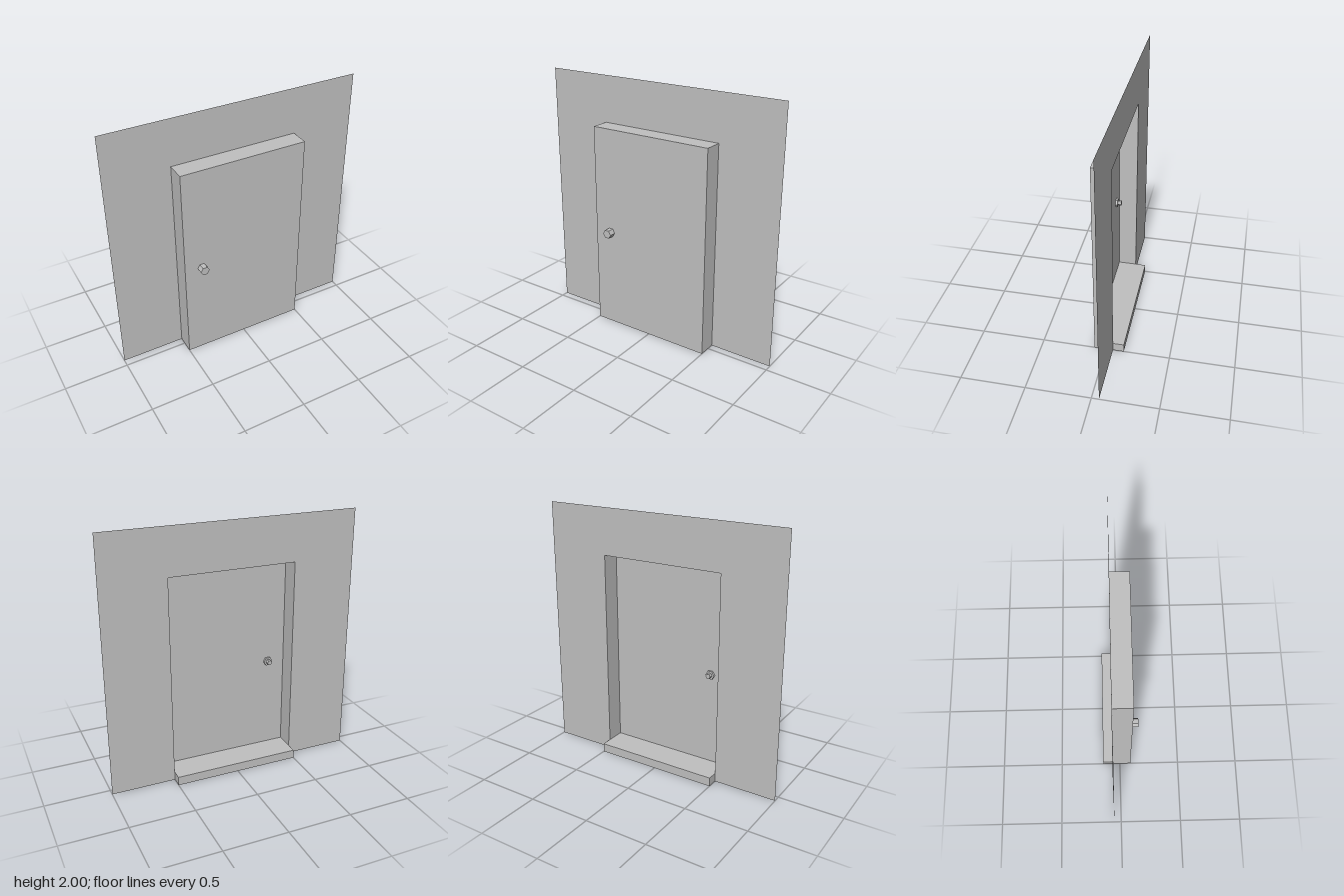
import * as THREE from 'three';

export function createModel() {
  const model = new THREE.Group();
  const grey = new THREE.MeshStandardMaterial({ color: 0xc0c0c0, side: THREE.DoubleSide });
  grey.name = 'plain grey';

  const halfW = 0.5, doorH = 1.635, stepH = 0.07;
  const wallZ = -0.057, doorZ = 0.09, backZ = -0.143;
  const depth = doorZ - wallZ, midZ = (doorZ + wallZ) / 2;

  function add(name, geometry, x, y, z) {
    const mesh = new THREE.Mesh(geometry, grey);
    mesh.name = name;
    mesh.position.set(x, y, z);
    model.add(mesh);
    return mesh;
  }

  // Thin wall sheet with the doorway cut out of its lower edge
  const outline = [[-1, 0], [-halfW, 0], [-halfW, doorH], [halfW, doorH], [halfW, 0], [1, 0], [1, 2], [-1, 2]];
  const wall = new THREE.Shape(outline.map(([x, y]) => new THREE.Vector2(x, y)));
  add('wall', new THREE.ShapeGeometry(wall), 0, 0, wallZ);

  // Door sheet, set off from the wall
  add('door', new THREE.PlaneGeometry(halfW * 2, doorH), 0, doorH / 2, doorZ);

  // Jambs and lintel joining the door to the wall
  for (const side of [-1, 1]) {
    const jamb = add(side > 0 ? 'leftJamb' : 'rightJamb',
      new THREE.PlaneGeometry(depth, doorH), side * halfW, doorH / 2, midZ);
    jamb.rotation.y = side * Math.PI / 2;
  }
  const lintel = add('lintel', new THREE.PlaneGeometry(halfW * 2, depth), 0, doorH, midZ);
  lintel.rotation.x = -Math.PI / 2;

  // Doorstep filling the foot of the recess and reaching out behind
  add('doorstep', new THREE.BoxGeometry(halfW * 2, stepH, doorZ - backZ), 0, stepH / 2, (doorZ + backZ) / 2);

  // Six-sided knobs lying along z, with a corner pointing sideways
  function knob(name, radius, z0, z1) {
    const geometry = new THREE.CylinderGeometry(radius, radius, z1 - z0, 6).toNonIndexed();
    geometry.rotateY(Math.PI / 2);
    geometry.rotateX(Math.PI / 2);
    geometry.computeVertexNormals();
    add(name, geometry, -0.36, 0.8, (z0 + z1) / 2);
  }
  knob('frontKnob', 0.036, doorZ, 0.143);
  knob('backKnobBase', 0.036, 0.074, doorZ);
  knob('backKnobStub', 0.02, 0.045, 0.074);

  return model;
}
